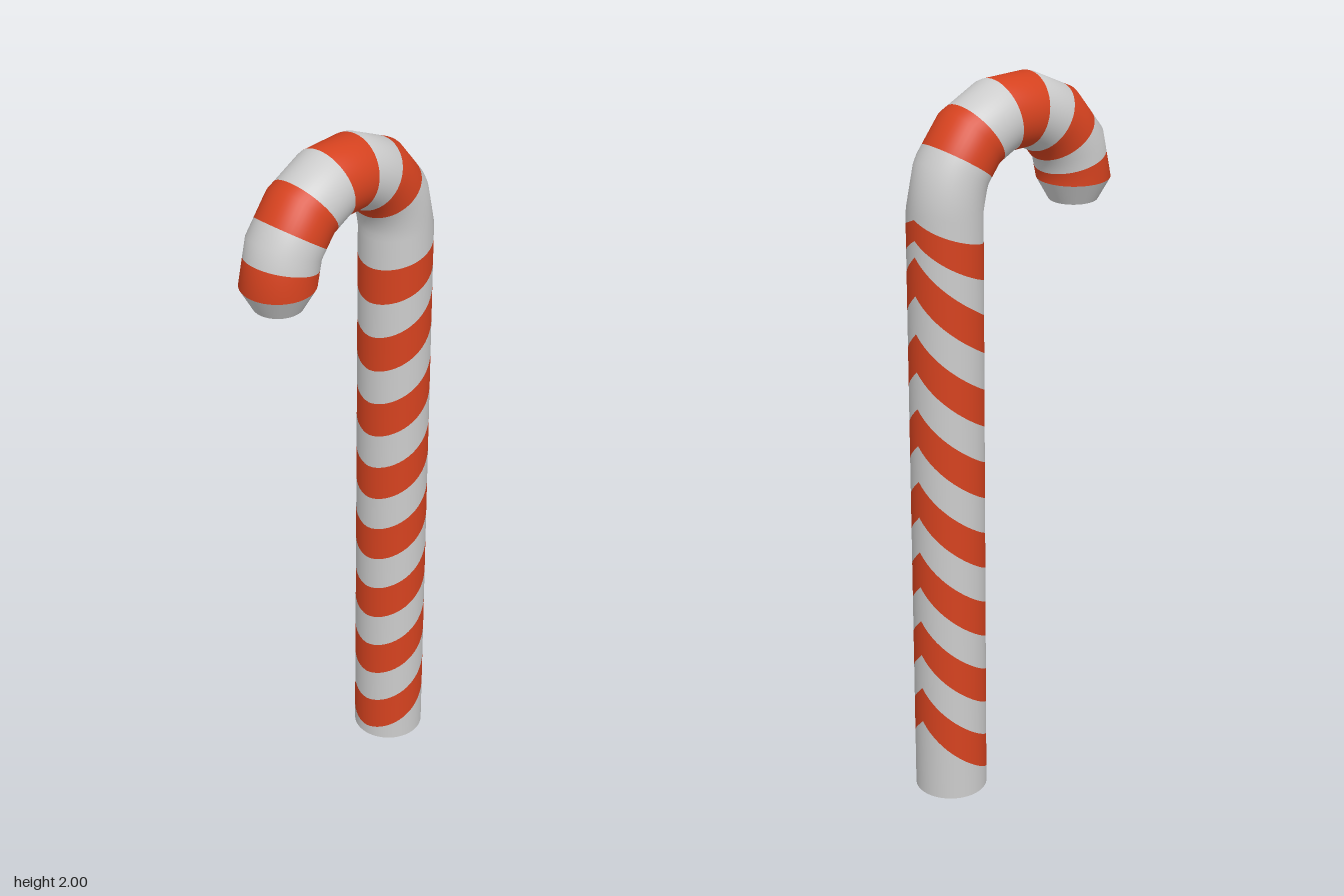
import * as THREE from 'three';

const R = 0.22;        // bend radius of the hook
const TUBE = 0.099;    // radius of the cane
const TOP = 1.69;      // height where the shaft starts to bend
const SEGS = 7;        // straight pieces in the hook
const SIDES = 48;
const END = TOP + R * Math.PI;

const white = new THREE.MeshStandardMaterial({ color: 0xcccccc });
const red = new THREE.MeshStandardMaterial({ color: 0xd5421f });

// One point of the hook's ring at bend angle a (0 = shaft, PI = tip)
function ringPoint(a, t) {
  const d = R - TUBE * Math.cos(t);
  return new THREE.Vector3(TUBE * Math.sin(t), TOP + d * Math.sin(a), -d * Math.cos(a));
}

// Surface point at length s along the cane and angle t around it (t = 0 faces the hook's inside)
function surfacePoint(s, t) {
  if (s <= TOP) return new THREE.Vector3(TUBE * Math.sin(t), s, -R + TUBE * Math.cos(t));
  const u = Math.min((s - TOP) / (END - TOP), 1) * SEGS;
  const i = Math.min(Math.floor(u), SEGS - 1);
  return ringPoint((i / SEGS) * Math.PI, t).lerp(ringPoint(((i + 1) / SEGS) * Math.PI, t), u - i);
}

function surfaceNormal(s, t) {
  const a = Math.max(0, s - TOP) / R;
  return new THREE.Vector3(Math.sin(t), -Math.cos(t) * Math.sin(a), Math.cos(t) * Math.cos(a));
}

// Stripe edge: low at the front, rising to a pointed peak at the back
const edgeAt = (edge, t) => edge.start + edge.rise * Math.pow(Math.abs(t) / Math.PI, 1.6);

// Band of tube between two stripe edges
function band(lower, upper, material, name) {
  const rows = upper.start > TOP ? 8 : 2;
  const pos = [], nor = [], index = [];
  for (let j = 0; j <= rows; j++) {
    for (let i = 0; i <= SIDES; i++) {
      const t = -Math.PI + (i / SIDES) * 2 * Math.PI;
      const s = THREE.MathUtils.lerp(edgeAt(lower, t), edgeAt(upper, t), j / rows);
      pos.push(...surfacePoint(s, t));
      nor.push(...surfaceNormal(s, t));
    }
  }
  const w = SIDES + 1;
  for (let j = 0; j < rows; j++) {
    for (let i = 0; i < SIDES; i++) {
      const a = j * w + i;
      index.push(a, a + 1, a + w + 1, a, a + w + 1, a + w);
    }
  }
  const g = new THREE.BufferGeometry();
  g.setAttribute('position', new THREE.Float32BufferAttribute(pos, 3));
  g.setAttribute('normal', new THREE.Float32BufferAttribute(nor, 3));
  g.setIndex(index);
  const mesh = new THREE.Mesh(g, material);
  mesh.name = name;
  return mesh;
}

export function createModel() {
  const cane = new THREE.Group();
  cane.name = 'candyCane';

  // Stripe edges up the shaft: eight chevron stripes, the last flattening out
  const edges = [{ start: 0, rise: 0 }];
  for (let k = 0; k < 8; k++) {
    const last = k === 7;
    edges.push({ start: 0.03 + k * 0.2085, rise: last ? 0.14 : 0.2 });
    edges.push({ start: 0.135 + k * 0.2085, rise: last ? 0.09 : 0.2 });
  }
  // Straight stripe edges around the hook, in degrees from its top
  for (const deg of [-56, -33, -11, 12, 33, 54, 75, 90]) {
    edges.push({ start: TOP + R * THREE.MathUtils.degToRad(deg + 90), rise: 0 });
  }
  for (let i = 0; i + 1 < edges.length; i++) {
    const isRed = i % 2 === 1;
    cane.add(band(edges[i], edges[i + 1], isRed ? red : white, isRed ? 'redStripe' : 'whiteStripe'));
  }

  // Flat foot
  const foot = new THREE.Mesh(new THREE.CircleGeometry(TUBE, SIDES), white);
  foot.rotation.x = Math.PI / 2;
  foot.position.z = -R;
  foot.name = 'foot';
  cane.add(foot);

  // Bevelled tip of the hook
  const tip = new THREE.Mesh(new THREE.CylinderGeometry(TUBE, 0.066, 0.06, SIDES), white);
  tip.position.set(0, TOP - 0.03, R);
  tip.name = 'hookTip';
  cane.add(tip);

  // The hook points forward and a little to the right
  cane.rotation.y = -0.372;
  const model = new THREE.Group();
  model.add(cane);
  return model;
}
